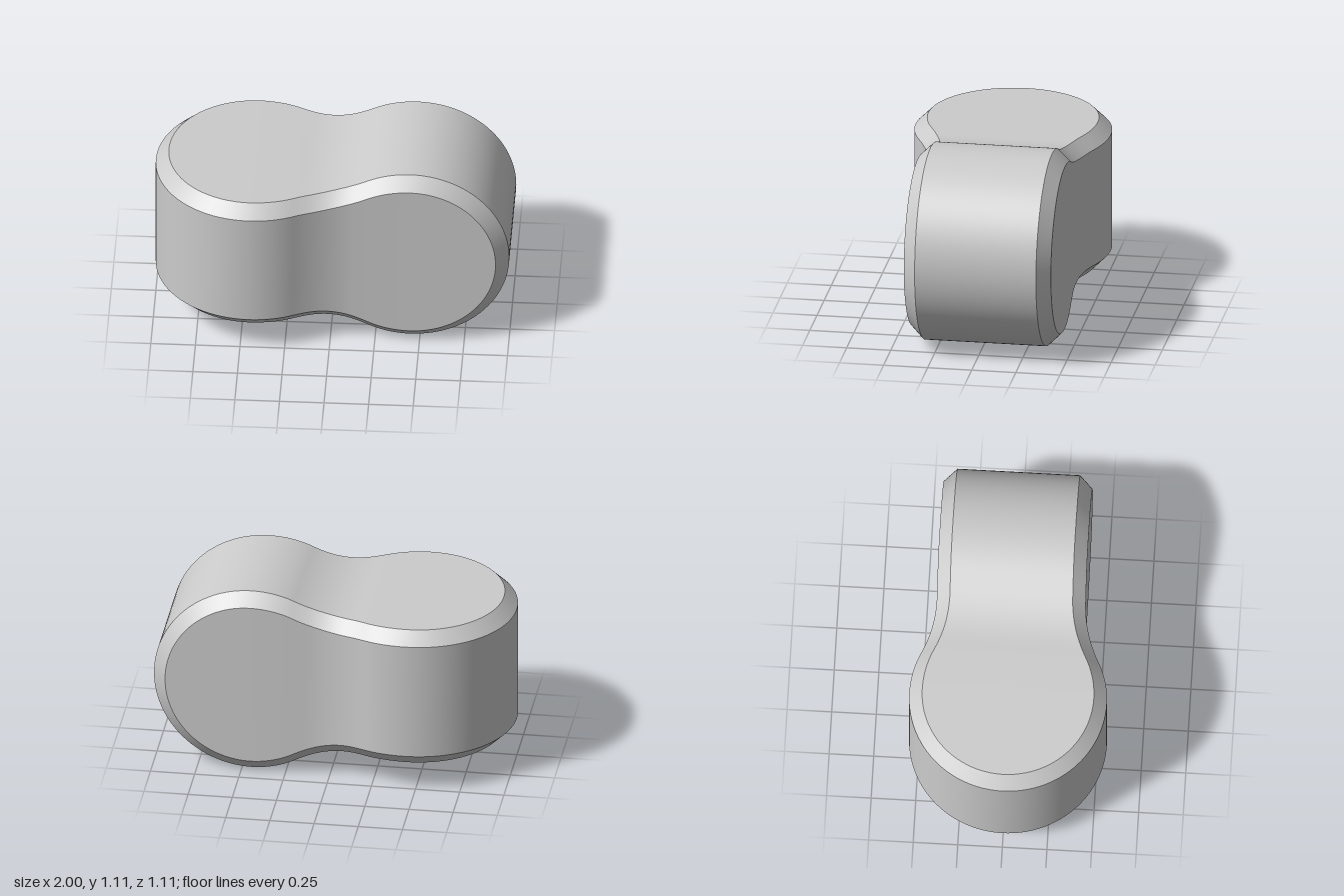
import * as THREE from 'three';
import { toCreasedNormals } from 'three/addons/utils/BufferGeometryUtils.js';

const R = 0.554;       // radius of each rounded lobe
const C = 0.446;       // lobe centre distance from the middle
const FLAT = 0.417;    // half thickness of the slab-like ends
const BEVEL = 0.073;   // chamfer size
const ARC = 28;        // steps round each lobe end
const NECK = 40;       // steps between lobe centres

// Half width at distance d past the lobe centre: arc, concave fillet, then flat
function halfWidth(d) {
  if (d < 0.24) return Math.sqrt(R * R - d * d);
  if (d > 0.578) return FLAT;
  return FLAT + 0.082 * ((0.578 - d) / 0.338) ** 2;
}

// Both chamfer edges at one station; each is [x, half height, half depth]
function stations() {
  const list = [];
  const inner = R - BEVEL, low = FLAT - BEVEL;
  for (let i = 0; i < ARC; i++) {
    const a = (i / ARC) * Math.PI / 2, c = Math.cos(a), s = Math.sin(a);
    list.push([[-C - inner * c, FLAT, inner * s], [-C - R * c, low, R * s]]);
  }
  for (let i = 0; i <= NECK; i++) {
    const x = -C + (2 * C * i) / NECK;
    const h = halfWidth(C - x), w = halfWidth(C + x);
    list.push([[x, h, w - BEVEL], [x, h - BEVEL, w]]);
  }
  for (let i = ARC - 1; i >= 0; i--) {
    const a = (i / ARC) * Math.PI / 2, c = Math.cos(a), s = Math.sin(a);
    list.push([[C + R * c, R * s, low], [C + inner * c, inner * s, FLAT]]);
  }
  return list;
}

// Eight-sided ring whose centre line drifts slightly from one lobe to the other
function ring([outer, side]) {
  const point = ([x, h, w], sy, sz) => {
    const t = THREE.MathUtils.smoothstep(x, -C, C);
    return new THREE.Vector3(x, 0.574 - 0.02 * t + sy * h, -0.02 * t + sz * w);
  };
  return [
    point(outer, 1, 1), point(outer, 1, -1), point(side, 1, -1), point(side, -1, -1),
    point(outer, -1, -1), point(outer, -1, 1), point(side, -1, 1), point(side, 1, 1),
  ];
}

// Loft the rings, leaving out triangles that collapse at the ends
function loft(rings) {
  const positions = [];
  const tri = (...p) => {
    if (new THREE.Triangle(...p).getArea() < 1e-9) return;
    for (const v of p) positions.push(v.x, v.y, v.z);
  };
  for (let i = 0; i + 1 < rings.length; i++) {
    const A = rings[i], B = rings[i + 1];
    for (let j = 0; j < 8; j++) {
      const k = (j + 1) % 8;
      tri(A[j], B[j], B[k]);
      tri(A[j], B[k], A[k]);
    }
  }
  const geometry = new THREE.BufferGeometry();
  geometry.setAttribute('position', new THREE.Float32BufferAttribute(positions, 3));
  return toCreasedNormals(geometry, 0.5);
}

export function createModel() {
  const group = new THREE.Group();
  group.name = 'twistedLink';
  // One upright lobe and one lying lobe, joined by a continuous chamfer band
  const body = new THREE.Mesh(
    loft(stations().map(ring)),
    new THREE.MeshStandardMaterial({ color: 0xcccccc })
  );
  body.name = 'linkBody';
  group.add(body);
  return group;
}
